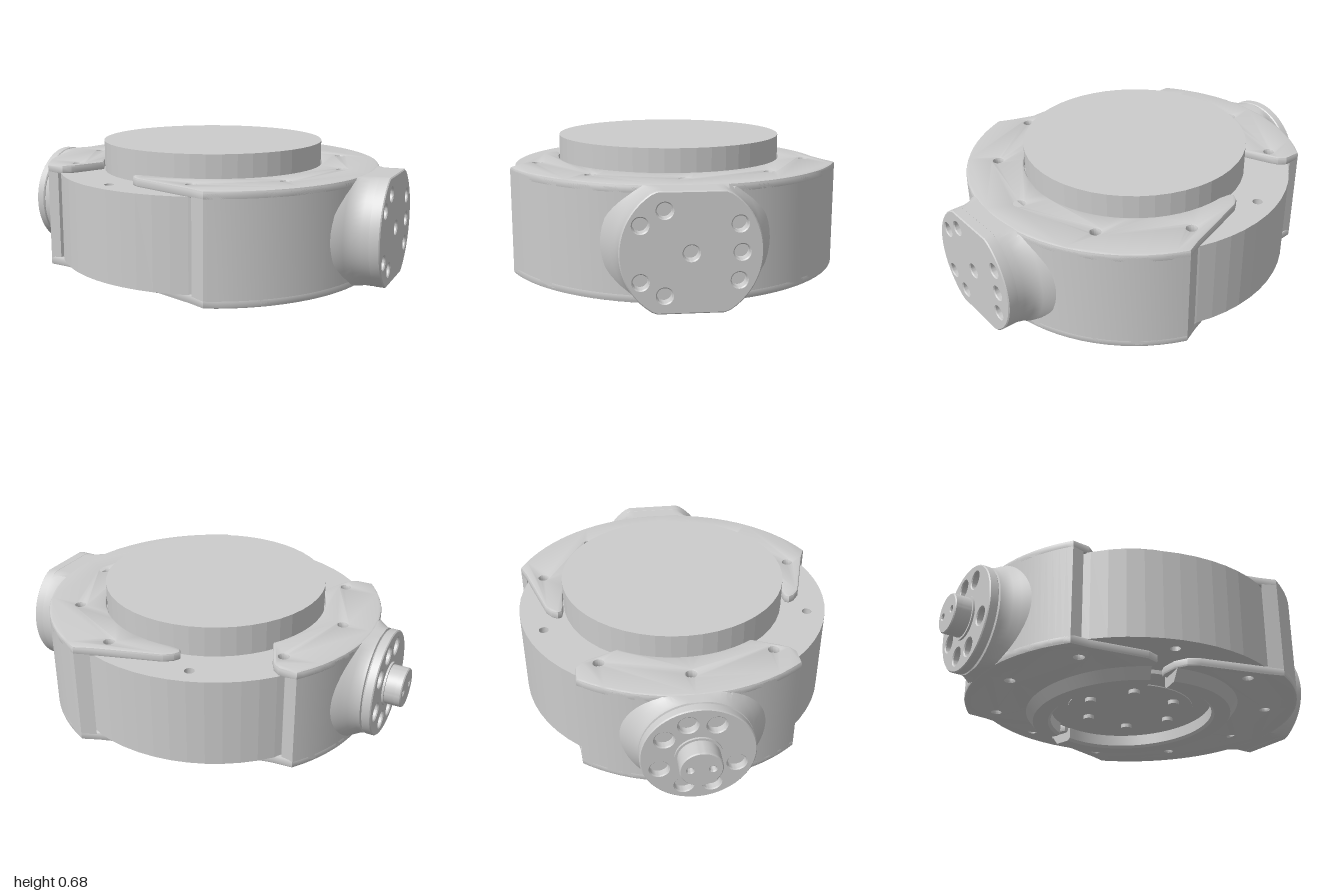
import * as THREE from 'three';
import { toCreasedNormals } from 'three/addons/utils/BufferGeometryUtils.js';

const CX = 0.03;          // axis of the round body
const AXIS_Y = 0.31;      // height of the side bosses
const rad = THREE.MathUtils.degToRad;
const grey = new THREE.MeshStandardMaterial({ color: 0xcccccc, side: THREE.DoubleSide });

function add(parent, name, geo, crease = 0.5) {
  const mesh = new THREE.Mesh(crease ? toCreasedNormals(geo, crease) : geo, grey);
  mesh.name = name;
  parent.add(mesh);
  return mesh;
}

// points [x, z] on an arc around the body axis
function arc(r, a0, a1, n = 32) {
  return Array.from({ length: n + 1 }, (_, i) => {
    const a = rad(a0 + (a1 - a0) * i / n);
    return [CX + r * Math.cos(a), r * Math.sin(a)];
  });
}

const mirrorZ = pts => pts.map(([x, z]) => [x, -z]).reverse();
const toShape = pts => new THREE.Shape(pts.map(p => new THREE.Vector2(...p)));

function hole(x, y, r) {
  const p = new THREE.Path();
  p.absarc(x, y, r, 0, Math.PI * 2, true);
  return p;
}

// ten screw positions on a common circle
const screws = Array.from({ length: 10 }, (_, i) => arc(0.69, i * 36, i * 36, 1)[0]);

// extrude an x/z outline between two heights
function slab(pts, y0, y1, bevel = 0, holes = []) {
  const shape = toShape(pts);
  holes.forEach(([x, z]) => shape.holes.push(hole(x, z, 0.024)));
  const geo = new THREE.ExtrudeGeometry(shape, {
    depth: y1 - y0 - 2 * bevel, bevelEnabled: bevel > 0, bevelSize: bevel,
    bevelThickness: bevel, bevelOffset: -bevel, bevelSegments: 2, curveSegments: 14
  });
  return geo.rotateX(Math.PI / 2).translate(0, y1 - bevel, 0);
}

// turned part along the x axis; side +1 points to +x, flat cuts it at +-flat
function turned(profile, side, flat = 1) {
  const geo = new THREE.LatheGeometry(profile.map(p => new THREE.Vector2(...p)), 64);
  geo.rotateZ(-side * Math.PI / 2);
  const p = geo.attributes.position;
  for (let i = 0; i < p.count; i++) p.setY(i, THREE.MathUtils.clamp(p.getY(i), -flat, flat));
  return geo.translate(0, AXIS_Y, 0);
}

// round plate facing +-x with holes given as [z, y, radius]
function facePlate(r, flat, x0, x1, side, holes) {
  const pts = Array.from({ length: 64 }, (_, i) => {
    const a = i / 32 * Math.PI;
    return [r * Math.cos(a), THREE.MathUtils.clamp(r * Math.sin(a), -flat, flat)];
  });
  const shape = toShape(pts);
  holes.forEach(([z, y, hr]) => shape.holes.push(hole(-side * z, y, hr)));
  const b = 0.005;
  const geo = new THREE.ExtrudeGeometry(shape, {
    depth: x1 - x0 - 2 * b, bevelThickness: b, bevelSize: b, bevelOffset: -b,
    bevelSegments: 1, curveSegments: 20
  });
  return geo.rotateY(side * Math.PI / 2).translate(side * (x0 + b), AXIS_Y, 0);
}

// raised lip under the housing: chamfered section swept along an elliptical arc
function lip(a0, a1) {
  const section = [[0.59, 0.055], [0.545, 0], [0.46, 0], [0.445, 0.012], [0.445, 0.09]];
  const n = 40, m = section.length, pos = [], idx = [];
  for (let i = 0; i <= n; i++) {
    const a = rad(a0 + (a1 - a0) * i / n);
    for (const [r, y] of section) pos.push(CX + 0.88 * r * Math.cos(a), y, r * Math.sin(a));
  }
  for (let i = 0; i < n; i++) for (let j = 0; j < m - 1; j++) {
    const a = i * m + j, b = a + m;
    idx.push(a, a + 1, b, b, a + 1, b + 1);
  }
  for (let j = 1; j < m - 1; j++) {
    idx.push(0, j + 1, j);
    idx.push(n * m, n * m + j, n * m + j + 1);
  }
  const geo = new THREE.BufferGeometry();
  geo.setAttribute('position', new THREE.Float32BufferAttribute(pos, 3));
  geo.setIndex(idx);
  geo.computeVertexNormals();
  return geo;
}

export function createModel() {
  const root = new THREE.Group();
  root.name = 'rotaryJoint';

  // round body, raised drum and plugs closing the screw holes
  add(root, 'body', slab(arc(0.78, 0, 354, 59), 0.09, 0.53, 0, screws), 0);
  add(root, 'drum', new THREE.CylinderGeometry(0.556, 0.556, 0.17, 48).translate(CX, 0.595, 0), 0.1);
  screws.forEach(([x, z]) =>
    add(root, 'screwSeat', new THREE.CylinderGeometry(0.026, 0.026, 0.37, 14).translate(x, 0.31, z)));

  // left-side housing (+x): tongued top and bottom plates joined by a curved wall
  const big = new THREE.Group();
  big.name = 'largeHousing';
  root.add(big);
  const bigOuter = arc(0.845, -67, 67);
  const tongue = [[0.28, 0.745], [-0.04, 0.645], [-0.08, 0.615], [-0.097, 0.585], [-0.085, 0.565], [-0.05, 0.56]];
  const lowTongue = [[0.28, 0.745], [-0.03, 0.645], [-0.08, 0.61], [-0.11, 0.55], [-0.11, 0.47]];
  const bigHoles = screws.filter(p => p[0] > 0);
  add(big, 'topPlate', slab([...bigOuter, ...tongue, ...arc(0.56, 96, -96), ...mirrorZ(tongue)], 0.525, 0.57, 0.01, bigHoles));
  add(big, 'bottomPlate', slab([...bigOuter, ...lowTongue, ...arc(0.46, 106, -106), ...mirrorZ(lowTongue)], 0.05, 0.095, 0.01, bigHoles));
  const bigEnd = [[0.29, 0.748]];
  add(big, 'wall', slab([...bigOuter, ...bigEnd, ...arc(0.77, 68, -68), ...mirrorZ(bigEnd)], 0.06, 0.56));
  add(big, 'lip', lip(-105, 105));

  // right-side housing (-x)
  const small = new THREE.Group();
  small.name = 'smallHousing';
  root.add(small);
  const smallOuter = arc(0.84, 142.5, 217.5);
  const edge = [[-0.55, -0.51], [-0.515, -0.485], [-0.49, -0.44], [-0.44, -0.325]];
  const lowEdge = [[-0.54, -0.52], [-0.27, -0.575], [-0.21, -0.56], [-0.2, -0.5], [-0.22, -0.42]];
  const smallHoles = screws.filter(p => p[0] < -0.4);
  add(small, 'topPlate', slab([...smallOuter, ...edge, ...arc(0.56, 214, 146), ...mirrorZ(edge)], 0.525, 0.57, 0.01, smallHoles));
  add(small, 'bottomPlate', slab([...smallOuter, ...lowEdge, ...arc(0.46, 238, 122), ...mirrorZ(lowEdge)], 0.05, 0.095, 0.01, smallHoles));
  const smallEnd = [[-0.58, -0.508]];
  add(small, 'wall', slab([...smallOuter, ...smallEnd, ...arc(0.77, 219, 141), ...mirrorZ(smallEnd)], 0.06, 0.56));
  add(small, 'lip', lip(118, 242));

  // flat-cut mounting boss with a flared root
  add(big, 'bossRoot', turned([[0.4, 0.72], [0.365, 0.8], [0.33, 0.835], [0.31, 0.865], [0.3, 0.91], [0.3, 0.945], [0, 0.945]], 1, 0.259));
  const bossHoles = [[0, 0], [0.21, 0.12], [0.11, 0.18], [-0.2, 0.12], [-0.21, 0], [-0.2, -0.12], [0.21, -0.12], [0.11, -0.18]];
  add(big, 'bossFace', facePlate(0.3, 0.26, 0.94, 0.995, 1, bossHoles.map(([z, y]) => [z, y, 0.033])));

  // round boss, grooved flange and spindle
  add(small, 'flangeRoot', turned([[0.35, 0.72], [0.31, 0.775], [0.285, 0.805], [0.265, 0.84], [0.262, 0.858], [0.25, 0.862], [0.25, 0.875], [0, 0.875]], -1, 0.258));
  const flangeHoles = [65, 105, 145, 200, 250, 290, 340].map(a => [0.185 * Math.cos(rad(a)), 0.185 * Math.sin(rad(a)), 0.043]);
  add(small, 'flange', facePlate(0.262, 0.262, 0.865, 0.91, -1, flangeHoles));
  add(small, 'spindleCollar', turned([[0.108, 0.9], [0.108, 0.92], [0, 0.92]], -1));
  add(small, 'spindleShaft', turned([[0.097, 0.9], [0.097, 0.97], [0, 0.97]], -1));
  add(small, 'spindle', facePlate(0.097, 0.097, 0.96, 1, -1, [[0.05, 0, 0.014], [-0.05, 0, 0.014]]));

  // underside cover with its ring of bolts
  add(root, 'underCover', new THREE.CylinderGeometry(0.45, 0.45, 0.03, 48).translate(CX, 0.085, 0));
  add(root, 'underDisc', new THREE.CylinderGeometry(0.32, 0.32, 0.03, 48).translate(CX, 0.08, 0));
  for (let i = 0; i < 6; i++) {
    const [x, z] = arc(0.24, i * 60, i * 60, 1)[0];
    add(root, 'underBolt', new THREE.CylinderGeometry(0.028, 0.028, 0.03, 16).translate(x, 0.06, z));
  }
  return root;
}
